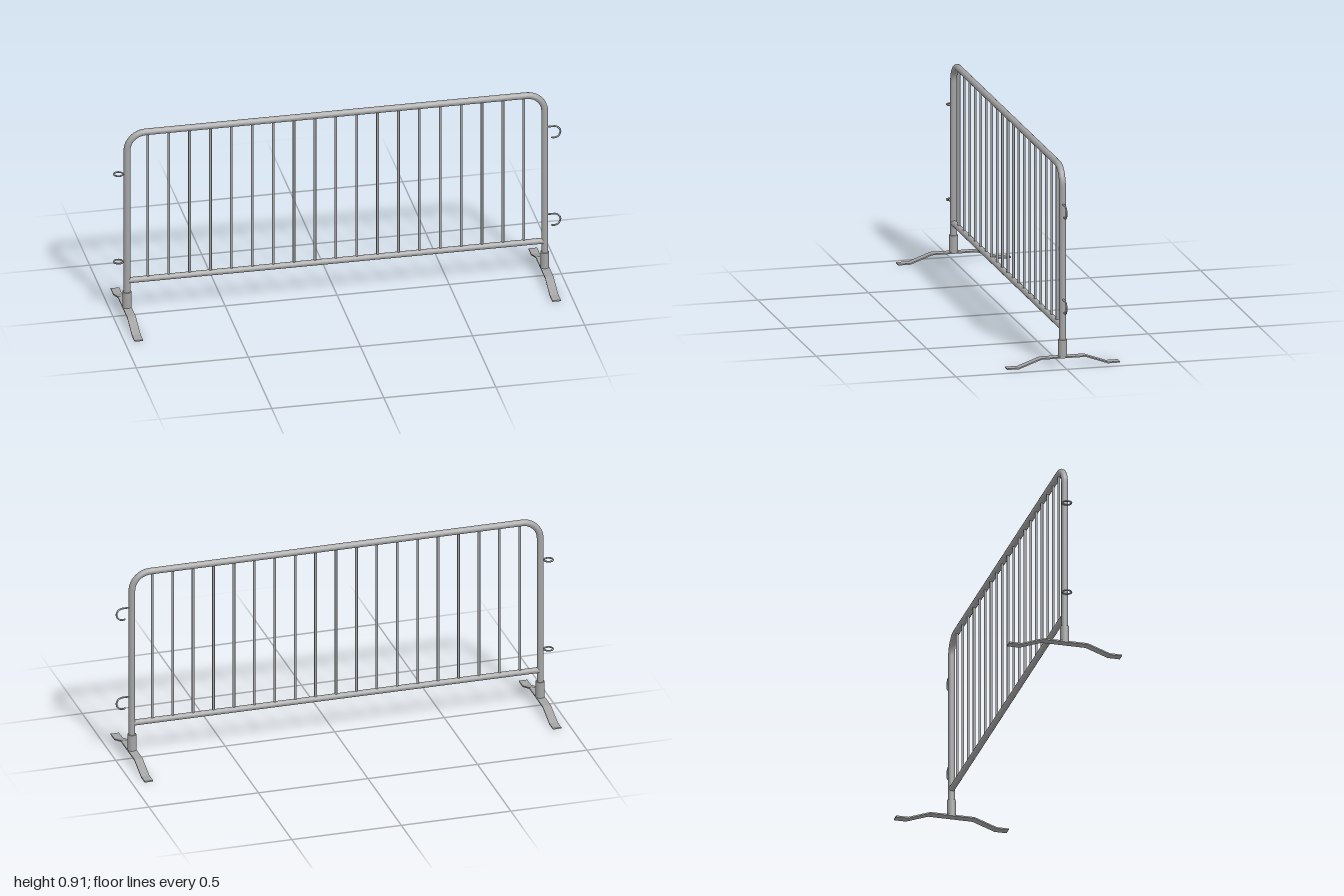
import * as THREE from 'three';

export function createModel() {
  const group = new THREE.Group();
  const steel = new THREE.MeshStandardMaterial({ color: 0xa4a4a4 });
  steel.name = 'galvanised steel';

  const CX = -0.006, HALF = 0.932, TOP = 0.892, RAIL_Y = 0.171, R = 0.0148;

  function add(name, geometry, x = 0, y = 0, z = 0) {
    const mesh = new THREE.Mesh(geometry, steel);
    mesh.name = name;
    mesh.position.set(x, y, z);
    group.add(mesh);
    return mesh;
  }
  const v = (x, y) => new THREE.Vector3(x, y, 0);

  // Straight runs joined by sampled arcs
  function arc(cx, cy, r, from, to, steps) {
    return Array.from({ length: steps + 1 }, (_, i) => {
      const a = THREE.MathUtils.degToRad(from + (to - from) * i / steps);
      return v(cx + r * Math.cos(a), cy + r * Math.sin(a));
    });
  }
  function polyline(points) {
    const path = new THREE.CurvePath();
    for (let i = 1; i < points.length; i++) path.add(new THREE.LineCurve3(points[i - 1], points[i]));
    return path;
  }

  // Outer frame: two posts and a top rail in one bent tube
  const bend = 0.083;
  const framePath = polyline([
    v(-HALF, 0.038),
    ...arc(-HALF + bend, TOP - bend, bend, 180, 90, 10),
    ...arc(HALF - bend, TOP - bend, bend, 90, 0, 10),
    v(HALF, 0.038),
  ]);
  add('frame', new THREE.TubeGeometry(framePath, 300, R, 14), CX);

  // Bottom rail
  const rail = add('bottomRail', new THREE.CylinderGeometry(0.0135, 0.0135, HALF * 2, 14), CX, RAIL_Y);
  rail.rotation.z = Math.PI / 2;

  // Upright bars
  const barGeometry = new THREE.CylinderGeometry(0.006, 0.006, TOP - RAIL_Y, 10);
  for (let i = -9; i <= 9; i++) add('bar', barGeometry, CX + i * HALF / 10, (TOP + RAIL_Y) / 2);

  // Foot: bent flat strip, extruded across its width
  const t = 0.006, foot = new THREE.Shape();
  const profile = [[-0.255, 0], [-0.2, 0], [-0.1, 0.036], [0.1, 0.036], [0.2, 0], [0.255, 0]];
  profile.forEach(([z, y], i) => (i ? foot.lineTo(z, y) : foot.moveTo(z, y)));
  [...profile].reverse().forEach(([z, y]) => foot.lineTo(z, y + t));
  const footGeometry = new THREE.ExtrudeGeometry(foot, { depth: 0.038, bevelEnabled: false });
  footGeometry.translate(0, 0, -0.019).rotateY(Math.PI / 2);
  const sleeveGeometry = new THREE.CylinderGeometry(0.0195, 0.0195, 0.077, 16);
  for (const side of [-1, 1]) {
    add('foot', footGeometry, CX + side * HALF);
    add('sleeve', sleeveGeometry, CX + side * HALF, 0.0785);
  }

  // Coupling rings on one end, hooks on the other
  const ringGeometry = new THREE.TorusGeometry(0.02, 0.0038, 8, 24).rotateX(Math.PI / 2);
  const hookPath = polyline([v(0.93, 0.028), ...arc(0.968, 0, 0.028, 90, -110, 20)]);
  const hookGeometry = new THREE.TubeGeometry(hookPath, 44, 0.004, 8);
  for (const y of [0.267, 0.697]) {
    add('ring', ringGeometry, -0.976, y);
    add('hook', hookGeometry, 0, y + 0.004);
    const tip = hookPath.getPoint(1);
    add('hookTip', new THREE.SphereGeometry(0.004, 8, 6), tip.x, tip.y + y + 0.004);
  }
  return group;
}
